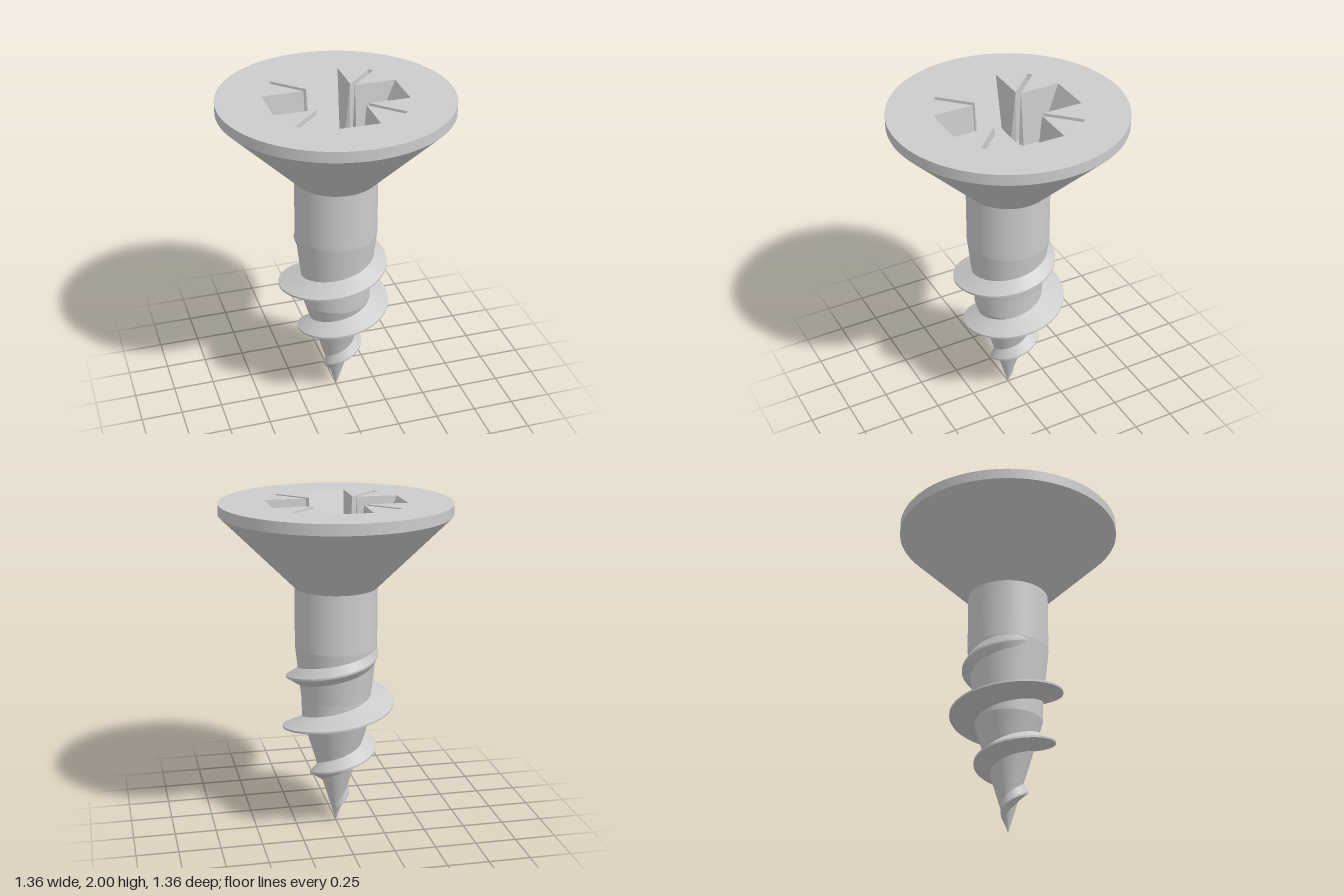
import * as THREE from 'three';
import { mergeGeometries } from 'three/addons/utils/BufferGeometryUtils.js';

const material = new THREE.MeshStandardMaterial({ color: 0xcccccc });
const V2 = (x, y) => new THREE.Vector2(x, y);

// piecewise-linear lookup of [y, radius] pairs
function radiusAt(table, y) {
  if (y <= table[0][0]) return table[0][1];
  for (let i = 1; i < table.length; i++) {
    const [y0, r0] = table[i - 1], [y1, r1] = table[i];
    if (y <= y1) return r0 + (r1 - r0) * (y - y0) / (y1 - y0);
  }
  return table[table.length - 1][1];
}

const CORE = [[0, 0], [0.68, 0.205], [0.82, 0.21], [1.14, 0.245], [1.5, 0.245]];
const CREST = [[0.04, 0.012], [0.11, 0.045], [0.65, 0.33], [0.725, 0.35], [0.8, 0.35], [1.14, 0.237]];

// one lathed band per profile segment keeps the edges between them sharp
function bands(points, segments = 96) {
  return mergeGeometries(points.slice(1).map((p, i) => new THREE.LatheGeometry([V2(...points[i]), V2(...p)], segments)));
}

// smooth surface through rows of points
function skin(rows) {
  const n = rows[0].length, index = [];
  for (let i = 0; i < rows.length - 1; i++) {
    for (let j = 0; j < n - 1; j++) {
      const a = i * n + j, b = a + n;
      index.push(a, b, a + 1, b, b + 1, a + 1);
    }
  }
  const g = new THREE.BufferGeometry();
  g.setAttribute('position', new THREE.Float32BufferAttribute(rows.flat(2), 3));
  g.setIndex(index);
  g.computeVertexNormals();
  return g;
}

// helical thread: lower flank, narrow crest and upper flank
function threadGeometry() {
  const pitch = 0.31, y0 = 0.05, y1 = 1.135, steps = 280, half = 0.06, land = 0.006;
  const lower = [], crest = [], upper = [];
  for (let i = 0; i <= steps; i++) {
    const y = y0 + (y1 - y0) * i / steps;
    const t = (y - 0.8) / pitch * Math.PI * 2;
    const r = radiusAt(CREST, y);
    const at = (radius, h) => [-Math.cos(t) * radius, h, Math.sin(t) * radius];
    const root = h => at(Math.max(0, Math.min(radiusAt(CORE, h), r) - 0.004), Math.max(h, 0.01));
    lower.push([root(y - half), at(r, y - land)]);
    crest.push([at(r, y - land), at(r, y + land)]);
    upper.push([at(r, y + land), root(y + half)]);
  }
  return mergeGeometries([lower, crest, upper].map(skin));
}

// cross-shaped outline with four diagonal slits
function recessOutline({ w, reach, c, s, mouth, slit }) {
  const q = Math.SQRT1_2, diagonal = (u, v) => V2((u + v) * q, (u - v) * q);
  const quarter = [V2(reach, -w), V2(reach, w), V2(c, w),
    diagonal(mouth, s), diagonal(slit, s), diagonal(slit, -s), diagonal(mouth, -s), V2(w, c)];
  const out = [];
  for (let k = 0; k < 4; k++) {
    for (const p of quarter) out.push(p.clone().rotateAround(V2(0, 0), k * Math.PI / 2));
  }
  return out;
}

// tapering walls between two outlines, facing inwards
function recessWalls(top, bottom, yTop, yBottom) {
  const pos = [];
  top.forEach((p, i) => {
    const j = (i + 1) % top.length;
    const a = [p.x, yTop, -p.y], b = [top[j].x, yTop, -top[j].y];
    const c = [bottom[i].x, yBottom, -bottom[i].y], d = [bottom[j].x, yBottom, -bottom[j].y];
    pos.push(...a, ...b, ...c, ...b, ...d, ...c);
  });
  const g = new THREE.BufferGeometry();
  g.setAttribute('position', new THREE.Float32BufferAttribute(pos, 3));
  g.computeVertexNormals();
  return g;
}

// flat face pointing up
function flatFace(shape, y) {
  return new THREE.ShapeGeometry(shape, 96).rotateX(-Math.PI / 2).translate(0, y, 0);
}

export function createModel() {
  const group = new THREE.Group();
  const add = (name, geometry, parent = group) => {
    const mesh = new THREE.Mesh(geometry, material);
    mesh.name = name;
    parent.add(mesh);
  };

  // shank, tapered core and thread
  add('shank', bands(CORE.map(([y, r]) => [r, y])));
  add('thread', threadGeometry());

  // countersunk head
  add('headSide', bands([[0.245, 1.5], [0.68, 1.935], [0.68, 2]]));
  const top = recessOutline({ w: 0.13, reach: 0.395, c: 0.152, s: 0.015, mouth: 0.2, slit: 0.435 });
  const bottom = recessOutline({ w: 0.1, reach: 0.255, c: 0.156, s: 0.009, mouth: 0.187, slit: 0.385 });
  const disc = new THREE.Shape().absarc(0, 0, 0.68, 0, Math.PI * 2);
  disc.holes.push(new THREE.Path(top));
  add('headTop', flatFace(disc, 2));

  // driver recess with a conical pit in its floor
  const recess = new THREE.Group();
  recess.name = 'driverRecess';
  group.add(recess);
  const floorY = 1.67, pit = 0.18;
  add('recessWalls', recessWalls(top, bottom, 2, floorY), recess);
  const floor = new THREE.Shape(bottom);
  floor.holes.push(new THREE.Path().absarc(0, 0, pit, 0, Math.PI * 2));
  add('recessFloor', flatFace(floor, floorY), recess);
  add('recessPit', bands([[pit, floorY], [0, 1.56]]), recess);
  return group;
}
